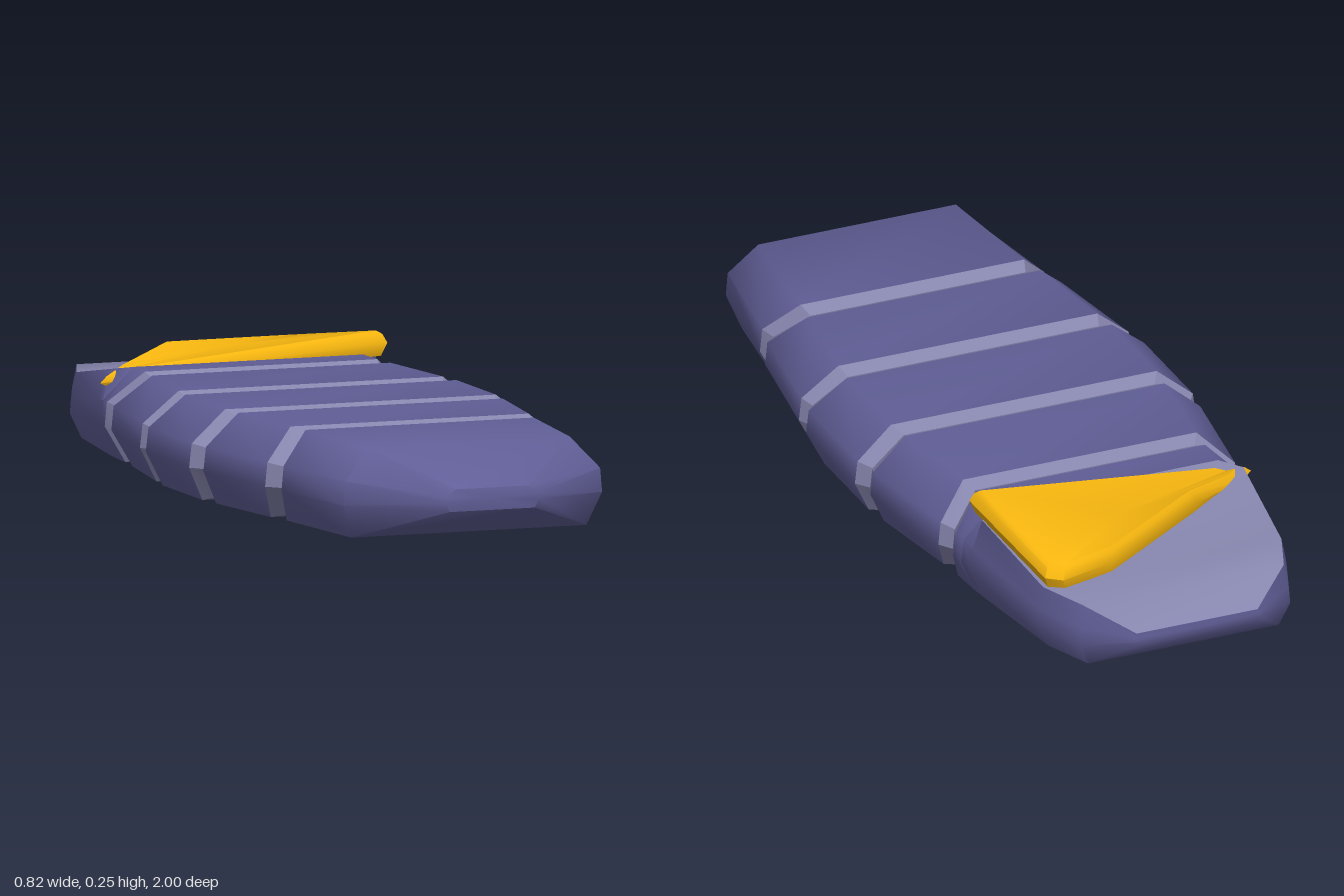
import * as THREE from 'three';
import { toCreasedNormals } from 'three/addons/utils/BufferGeometryUtils.js';

const material = (color) => new THREE.MeshStandardMaterial({ color, side: THREE.DoubleSide });
const fabric = material(0x605e96);
const lining = material(0x8685ad);
const accent = material(0xf5b50f);
const FLOOR = 0.003;

// Padded eight-sided cross-section; sweep shifts its sides along z
function section(z, w, { top = 0.202, bottom = FLOOR, sweep = 0, topWidth = 0.78 } = {}) {
  const y = (t) => bottom + (top - bottom) * t;
  const half = [
    [topWidth * w, y(1), z],
    [0.985 * w, y(0.65), z + sweep],
    [w, y(0.38), z + sweep],
    [0.91 * w, y(0), z],
  ];
  return [...half, ...half.slice().reverse().map(([x, py, pz]) => [-x, py, pz])];
}

// Skin between successive rings, using only the listed edges of each ring
function loft(name, rings, mat, { edges, capStart, capEnd, crease = 0.95 } = {}) {
  const pos = [];
  const n = rings[0].length;
  const tri = (a, b, c) => pos.push(...a, ...b, ...c);
  const list = edges ?? rings[0].map((_, i) => i);
  for (let i = 0; i < rings.length - 1; i++) {
    for (const j of list) {
      const k = (j + 1) % n;
      const a = rings[i], b = rings[i + 1];
      tri(a[j], a[k], b[k]);
      tri(a[j], b[k], b[j]);
    }
  }
  const cap = (ring, flip) => {
    const c = [0, 1, 2].map((q) => ring.reduce((s, p) => s + p[q], 0) / n);
    ring.forEach((p, j) => {
      const r = ring[(j + 1) % n];
      if (flip) tri(c, r, p);
      else tri(c, p, r);
    });
  };
  if (capStart) cap(rings[0], true);
  if (capEnd) cap(rings[rings.length - 1], false);
  const geo = new THREE.BufferGeometry();
  geo.setAttribute('position', new THREE.Float32BufferAttribute(pos, 3));
  const mesh = new THREE.Mesh(toCreasedNormals(geo, crease), mat);
  mesh.name = name;
  return mesh;
}

export function createModel() {
  const group = new THREE.Group();
  group.name = 'sleepingBag';

  // Seams: centre z, side sweep, half width in front of and behind the seam
  const seams = [
    [0.522, 0.05, 0.345, 0.36],
    [0.22, 0.015, 0.4, 0.41],
    [-0.085, -0.008, 0.41, 0.4],
    [-0.39, -0.045, 0.36, 0.352],
  ];
  const G = 0.031;
  const front = ([z, sweep, w]) => section(z + G, w, { sweep });
  const back = ([z, sweep, , w]) => section(z - G, w, { sweep });

  // Foot end
  group.add(loft('footSection', [
    section(1, 0.11, { top: 0.12, bottom: 0.07 }),
    section(0.855, 0.305, { sweep: 0.025 }),
    front(seams[0]),
  ], fabric, { capStart: true }));

  // Padded middle sections
  for (let i = 0; i < 3; i++) {
    group.add(loft('paddedSection', [back(seams[i]), front(seams[i + 1])], fabric));
  }

  // Recessed seams between the sections
  for (const seam of seams) {
    const [z, sweep, w1, w2] = seam;
    const groove = section(z, Math.min(w1, w2) - 0.013, { top: 0.187, bottom: 0.012, sweep });
    group.add(loft('seam', [front(seam), groove, back(seam)], lining, { crease: 0.4 }));
  }

  // Head end: padded shell with the lining exposed on top
  const head = [
    section(-0.5, 0.347),
    section(-0.54, 0.342, { top: 0.194, topWidth: 0.92 }),
    section(-0.81, 0.302, { top: 0.15, topWidth: 0.95 }),
    section(-0.925, 0.252, { top: 0.15, topWidth: 0.96, sweep: -0.012 }),
    section(-1, 0.15, { top: 0.095, bottom: 0.065, topWidth: 0.97 }),
  ];
  group.add(loft('headCollar', [back(seams[3]), head[0]], fabric));
  group.add(loft('headShell', head, fabric, { edges: [0, 1, 2, 3, 4, 5, 6], capEnd: true }));
  group.add(loft('headLining', head, lining, { edges: [7] }));

  // Folded-over corner flap, thinning out towards its narrow end
  const outline = [
    [-0.34, -0.515], [0.325, -0.5], [0.285, -0.82], [0.25, -0.84],
    [0.12, -0.81], [-0.15, -0.66], [-0.3, -0.56],
  ];
  const flapRing = (t, inset) => outline.map(([x, z]) => {
    const px = 0.08 + (x - 0.08) * inset;
    const pz = -0.64 + (z + 0.64) * inset;
    const taper = Math.max(0, -0.14 - px);
    const base = 0.197 + (pz + 0.5) * 0.15 - taper * 0.2;
    return [px, base + t * (0.057 - taper * 0.15), pz];
  });
  const flapRings = [flapRing(0, 0.96), flapRing(0.5, 1.01), flapRing(0.85, 0.97), flapRing(1, 0.92)];
  group.add(loft('foldedFlap', flapRings.reverse(), accent, { capStart: true, capEnd: true, crease: 0.8 }));

  // Small patch under the head end
  const patchShape = new THREE.Shape(
    [[-0.13, 0.53], [0.2, 0.515], [0.22, 0.66], [-0.13, 0.65]].map(([x, y]) => new THREE.Vector2(x, y)));
  const patch = new THREE.Mesh(new THREE.ShapeGeometry(patchShape), accent);
  patch.name = 'undersidePatch';
  patch.rotation.x = -Math.PI / 2;
  group.add(patch);

  return group;
}
